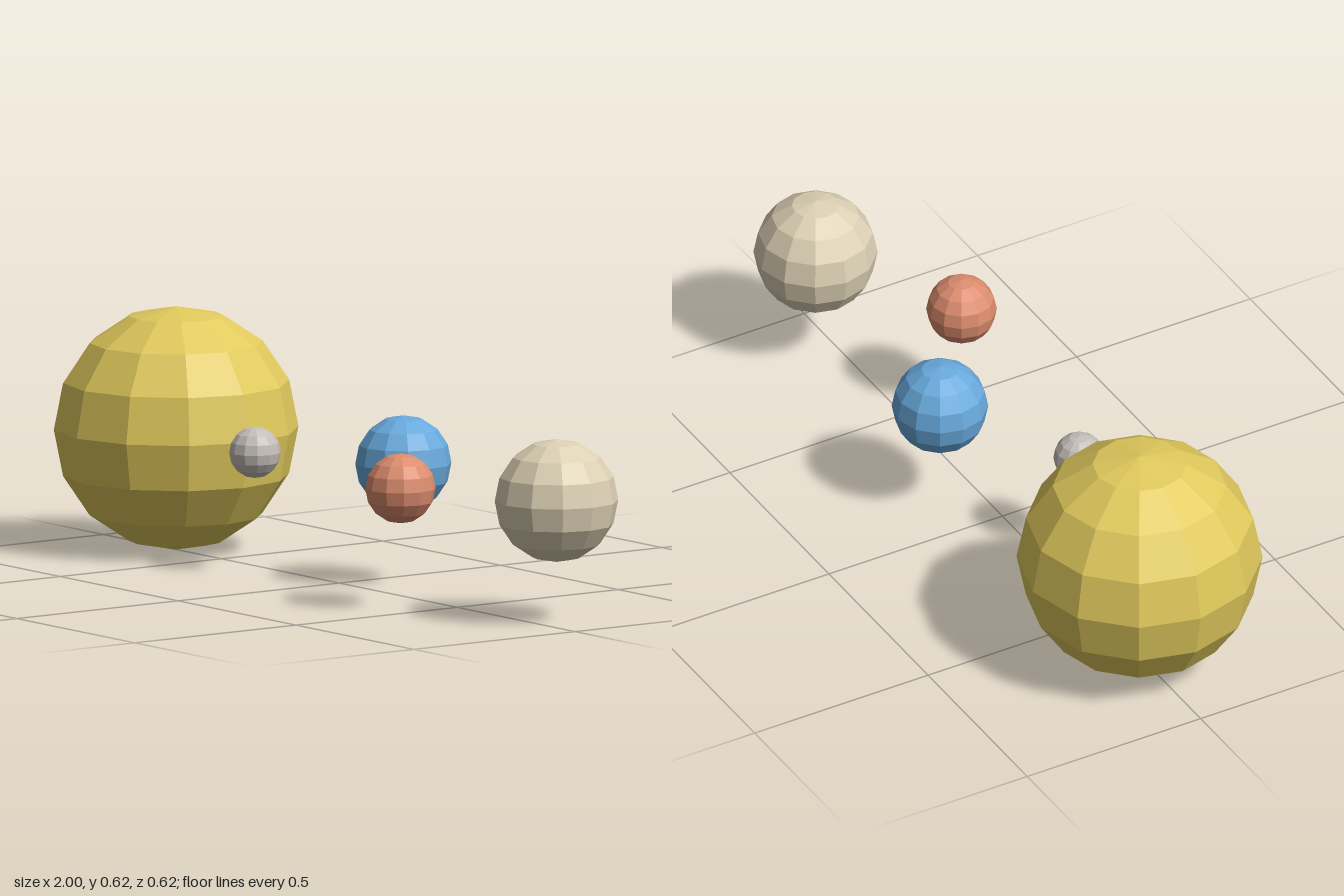
import * as THREE from 'three';

const material = (name, color) => {
  const m = new THREE.MeshStandardMaterial({ color, flatShading: true });
  m.name = name;
  return m;
};

// A faceted ball with its poles up and down
function ball(name, mat, radius, x, z) {
  const mesh = new THREE.Mesh(new THREE.SphereGeometry(radius, 12, 8), mat);
  mesh.name = name;
  mesh.position.set(x, 0.308, z);
  return mesh;
}

export function createModel() {
  const group = new THREE.Group();
  group.name = 'planets';
  group.add(
    // Central star
    ball('sun', material('golden yellow', 0xe0c95c), 0.308, -0.692, 0),
    // Planets in order outwards
    ball('innerPlanet', material('stone grey', 0xc4beb8), 0.065, -0.248, 0.08),
    ball('bluePlanet', material('sky blue', 0x68a9dc), 0.121, 0.117, -0.113),
    ball('redPlanet', material('terracotta', 0xdc8c6e), 0.0885, 0.451, 0.14),
    ball('outerPlanet', material('pale sand', 0xdcd0b4), 0.1555, 0.8445, -0.056),
  );
  return group;
}
